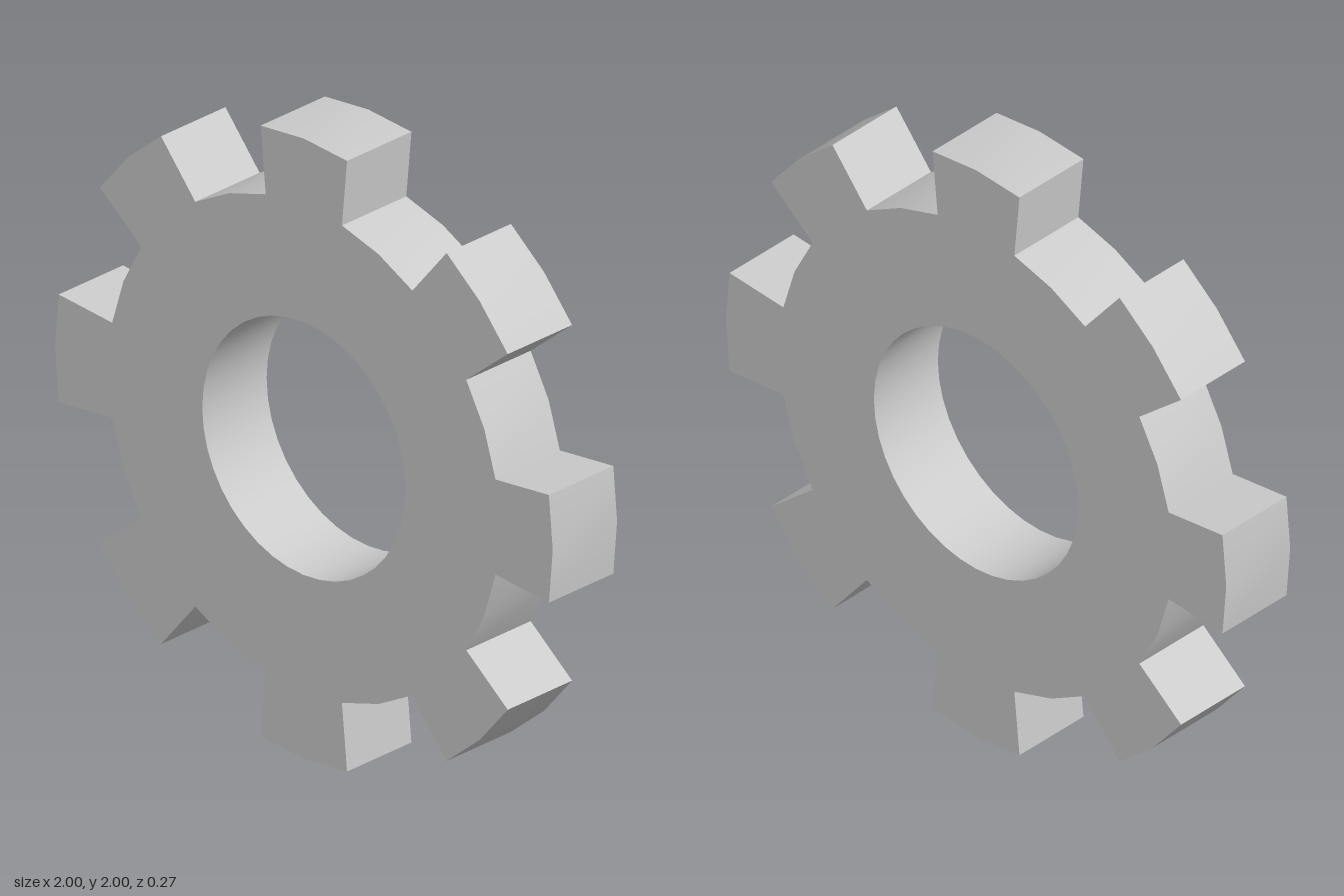
import * as THREE from 'three';
import { toCreasedNormals } from 'three/addons/utils/BufferGeometryUtils.js';

const TEETH = 8;
const TIP_RADIUS = 1;
const ROOT_RADIUS = 0.785;
const BORE_RADIUS = 0.408;
const THICKNESS = 0.272;

// One tooth and the gap after it: [angle in degrees from the tooth centre, radius]
const toothProfile = [
  [-11.25, ROOT_RADIUS],
  [-10, TIP_RADIUS],
  [0, TIP_RADIUS],
  [10, TIP_RADIUS],
  [11.25, ROOT_RADIUS],
  [22.5, ROOT_RADIUS],
];

function gearOutline() {
  const points = [];
  for (let i = 0; i < TEETH; i++) {
    for (const [degrees, radius] of toothProfile) {
      const angle = THREE.MathUtils.degToRad(degrees + (i * 360) / TEETH);
      points.push(new THREE.Vector2(Math.cos(angle) * radius, Math.sin(angle) * radius));
    }
  }
  return new THREE.Shape(points);
}

export function createModel() {
  const group = new THREE.Group();
  group.name = 'gear';

  // Toothed disc with a round bore through the middle
  const shape = gearOutline();
  shape.holes.push(new THREE.Path().absarc(0, 0, BORE_RADIUS, 0, Math.PI * 2, true));

  const extruded = new THREE.ExtrudeGeometry(shape, {
    depth: THICKNESS,
    bevelEnabled: false,
    curveSegments: 20,
  });
  extruded.translate(0, TIP_RADIUS, -THICKNESS / 2);

  // Smooth bore and arcs, sharp tooth edges
  const geometry = toCreasedNormals(extruded, THREE.MathUtils.degToRad(30));
  const gear = new THREE.Mesh(geometry, new THREE.MeshStandardMaterial({ color: 0xcccccc }));
  gear.name = 'gearWheel';
  group.add(gear);

  return group;
}
